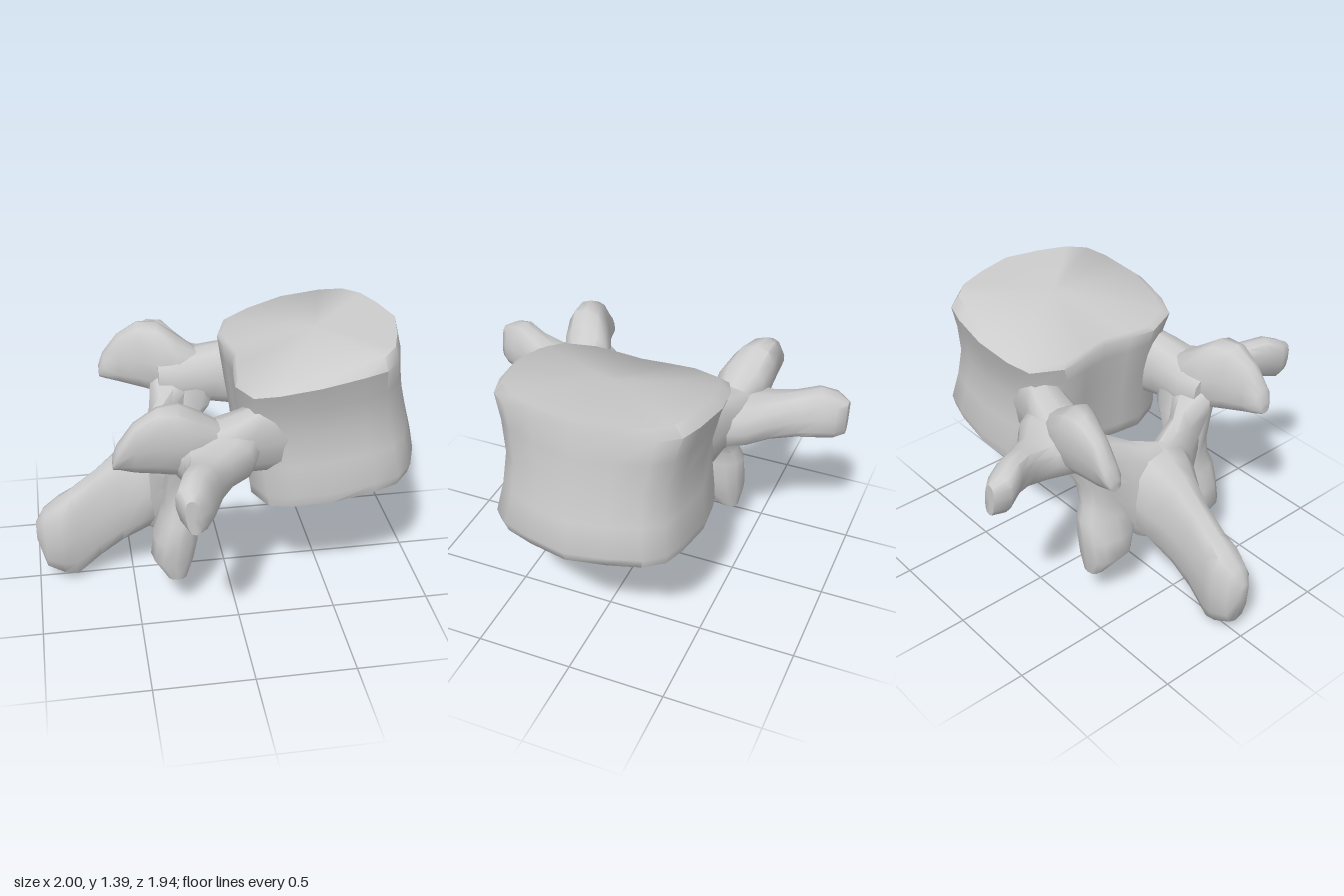
import * as THREE from 'three';
import { toCreasedNormals } from 'three/addons/utils/BufferGeometryUtils.js';

const material = new THREE.MeshStandardMaterial({ color: 0xcccccc, side: THREE.DoubleSide });

// Closed skin over a row of rings; ends are fans, faces are turned outward.
function loft(rings, startCentre, endCentre) {
  const n = rings[0].length;
  const middle = (ring) => ring.reduce((a, p) => a.map((v, i) => v + p[i] / n), [0, 0, 0]);
  const points = rings.flat();
  const last = (rings.length - 1) * n;
  const a = points.length;
  points.push(startCentre || middle(rings[0]), endCentre || middle(rings[rings.length - 1]));
  const faces = [];
  for (let i = 0; i < n; i++) {
    const j = (i + 1) % n;
    for (let r = 0; r < last; r += n) faces.push([r + i, r + j, r + n + j], [r + i, r + n + j, r + n + i]);
    faces.push([a, j, i], [a + 1, last + i, last + j]);
  }
  const v = points.map((p) => new THREE.Vector3(...p));
  let volume = 0;
  for (const [p, q, r] of faces) volume += v[p].dot(v[q].clone().cross(v[r]));
  if (volume < 0) faces.forEach((f) => f.reverse());
  const geometry = new THREE.BufferGeometry().setFromPoints(v);
  geometry.setIndex(faces.flat());
  return toCreasedNormals(geometry, 0.9);
}

// Rounded ring: centre c, half axes u and w; s mirrors it in z.
function ring([c, u, w], s = 1, n = 12) {
  const soft = (t) => Math.sign(t) * Math.abs(t) ** 0.8;
  return Array.from({ length: n }, (_, i) => {
    const k = (i / n) * Math.PI * 2;
    const p = c.map((x, j) => x + u[j] * soft(Math.cos(k)) + w[j] * soft(Math.sin(k)));
    return [p[0], p[1], p[2] * s];
  });
}

// Body outline: fraction along x, fraction of half width.
const half = [[0.04, 0], [0.015, 0.28], [0, 0.55], [0.07, 0.86], [0.2, 0.95], [0.42, 1],
  [0.66, 0.95], [0.8, 0.88], [0.89, 0.7], [0.95, 0.4], [1, 0]];
const outline = [...half, ...half.slice(1, -1).reverse().map(([t, z]) => [t, -z])];
// Body levels: back x, back y, front x, front y, half width.
const levels = [
  [0.13, 0.58, 0.95, 0.685, 0.45], [0.1, 0.6, 0.985, 0.7, 0.49], [0.09, 0.66, 1.0, 0.75, 0.5],
  [0.07, 0.82, 0.96, 0.9, 0.47], [0.04, 1.0, 0.925, 1.05, 0.46], [0.02, 1.14, 0.9, 1.22, 0.49],
  [0.01, 1.22, 0.885, 1.34, 0.53], [0.03, 1.245, 0.87, 1.4, 0.48],
];
const bodyRings = levels.map(([x0, y0, x1, y1, w], i) => outline.map(([t, z]) => [
  x0 + (x1 - x0) * t,
  y0 + (y1 - y0) * t + (i > 5 ? 0.03 * Math.sin(Math.PI * t) : 0),
  z * w,
]));

// Rows of [centre, half axis, half axis] for the paired parts on the +z side.
const paired = {
  pedicle: [
    [[0.3, 0.98, 0.33], [0, 0.2, 0], [0, 0, 0.1]],
    [[0.1, 0.98, 0.36], [0.02, 0.18, 0], [0, 0, 0.11]],
    [[0, 0.97, 0.39], [0.02, 0.16, 0], [0, 0, 0.125]],
    [[-0.1, 0.95, 0.41], [0, 0.15, 0], [0, 0, 0.14]],
    [[-0.2, 0.95, 0.41], [0, 0.15, 0], [0, 0, 0.15]],
    [[-0.3, 0.95, 0.4], [0, 0.11, 0], [0, 0, 0.11]],
  ],
  sideWing: [
    [[-0.1, 0.95, 0.38], [0.23, 0, 0.03], [0, 0.15, 0]],
    [[-0.13, 0.94, 0.52], [0.19, 0, 0.03], [0, 0.125, 0]],
    [[-0.17, 0.94, 0.61], [0.12, 0, 0.03], [-0.01, 0.11, 0]],
    [[-0.2, 0.96, 0.73], [0.075, 0, 0.03], [-0.02, 0.115, 0]],
    [[-0.24, 0.97, 0.83], [0.07, 0, 0.03], [-0.03, 0.125, 0]],
    [[-0.28, 0.95, 0.91], [0.075, 0, 0.02], [-0.02, 0.115, 0]],
    [[-0.285, 0.94, 0.97], [0.035, 0, 0], [-0.01, 0.09, 0]],
  ],
  upperFacet: [
    [[-0.06, 1.0, 0.41], [0, 0.08, 0], [0, 0, 0.08]],
    [[-0.19, 1.02, 0.42], [0, 0.15, 0.02], [0, 0, 0.13]],
    [[-0.29, 1.05, 0.45], [0, 0.19, 0.02], [0, 0, 0.12]],
    [[-0.39, 1.06, 0.47], [0, 0.18, 0.02], [0, 0, 0.09]],
    [[-0.5, 1.04, 0.485], [0, 0.135, 0.01], [0, 0, 0.06]],
    [[-0.58, 1.0, 0.49], [0, 0.065, 0.01], [0, 0, 0.05]],
    [[-0.605, 0.97, 0.49], [0, 0.03, 0], [0, 0, 0.03]],
  ],
  lowerFacet: [
    [[-0.16, 0.93, 0.37], [0.18, 0, 0], [0, 0, 0.1]],
    [[-0.18, 0.82, 0.34], [0.16, 0, 0], [0, 0, 0.1]],
    [[-0.24, 0.7, 0.3], [0.11, 0, 0], [0, 0, 0.1]],
    [[-0.265, 0.6, 0.28], [0.085, 0, 0], [0, 0, 0.13]],
    [[-0.275, 0.53, 0.28], [0.095, 0, 0], [0, 0, 0.16]],
    [[-0.295, 0.42, 0.29], [0.115, 0, 0], [0, 0, 0.15]],
    [[-0.315, 0.31, 0.31], [0.11, 0, 0], [0, 0, 0.13]],
    [[-0.3, 0.205, 0.365], [0.05, 0, 0], [0, 0, 0.055]],
  ],
  // Slanted plate closing the canal from the pedicle to the midline.
  lamina: [
    [[-0.2, 0.85, 0.38], [-0.03, 0.15, 0], [0.14, 0, 0.02]],
    [[-0.26, 0.71, 0.25], [0.03, 0.24, 0], [0.14, 0, 0.06]],
    [[-0.34, 0.62, 0.14], [0.03, 0.28, 0], [0.11, 0, 0.06]],
    [[-0.4, 0.57, 0], [0.04, 0.29, 0], [0.08, 0, 0]],
  ],
};

// Spine from the lamina back and down to its thick tip.
const spine = [
  [[-0.37, 0.6, 0], [0, 0.26, 0], [0, 0, 0.2]],
  [[-0.46, 0.54, 0], [0, 0.26, 0], [0, 0, 0.17]],
  [[-0.55, 0.48, 0], [0, 0.265, 0], [0, 0, 0.12]],
  [[-0.67, 0.38, 0], [0, 0.265, 0], [0, 0, 0.085]],
  [[-0.8, 0.275, 0], [0, 0.27, 0], [0, 0, 0.09]],
  [[-0.87, 0.265, 0], [0, 0.23, 0], [0, 0, 0.11]],
  [[-0.955, 0.255, 0], [0, 0.175, 0], [0, 0, 0.08]],
  [[-1, 0.3, 0], [0, 0.05, 0], [0, 0, 0.025]],
];

export function createModel() {
  const model = new THREE.Group();
  model.name = 'vertebra';
  const add = (name, geometry) => {
    const mesh = new THREE.Mesh(geometry, material);
    mesh.name = name;
    model.add(mesh);
  };
  add('body', loft(bodyRings, [0.52, 0.67, 0], [0.46, 1.37, 0]));
  add('spine', loft(spine.map((r) => ring(r))));
  for (const [name, rows] of Object.entries(paired)) {
    for (const s of [1, -1]) add(name + (s > 0 ? 'Front' : 'Back'), loft(rows.map((r) => ring(r, s))));
  }
  return model;
}
